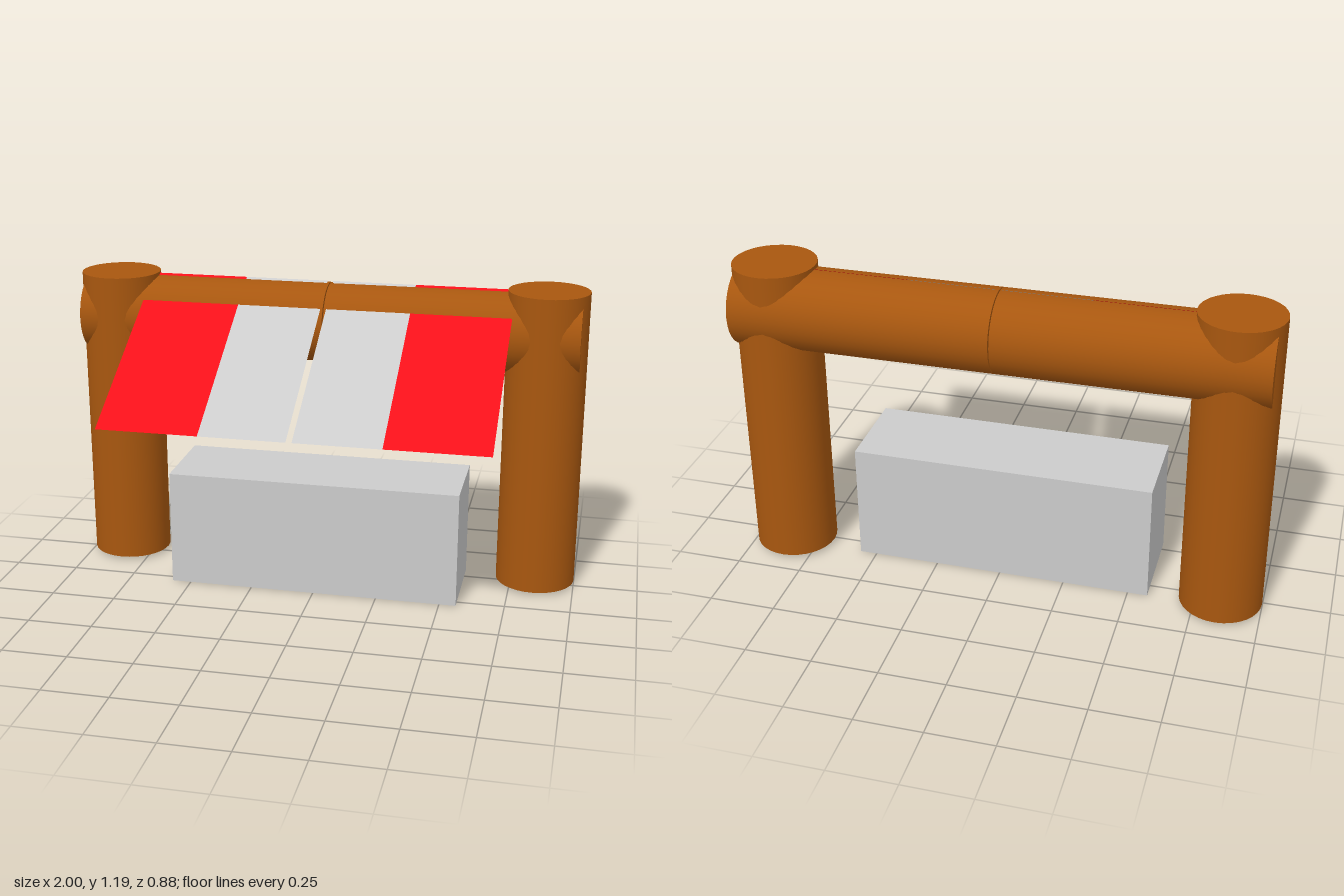
import * as THREE from 'three';

const wood = new THREE.MeshStandardMaterial({ color: 0xa8570f });
const grey = new THREE.MeshStandardMaterial({ color: 0xcccccc });
const redCloth = new THREE.MeshStandardMaterial({ color: 0xff1019, side: THREE.DoubleSide });
const greyCloth = new THREE.MeshStandardMaterial({ color: 0xcccccc, side: THREE.DoubleSide });

const RADIUS = 0.155;

function add(group, name, geometry, material, x, y, z) {
  const mesh = new THREE.Mesh(geometry, material);
  mesh.name = name;
  mesh.position.set(x, y, z);
  group.add(mesh);
  return mesh;
}

export function createModel() {
  const model = new THREE.Group();
  model.name = 'awningStall';

  // Awning slope, from the ridge on the beam down to the front edge
  const ridge = { y: 1.181, z: -0.293 };
  const eave = { y: 0.762, z: 0.438 };
  const drop = ridge.y - eave.y;
  const run = eave.z - ridge.z;
  const slopeLength = Math.hypot(drop, run);
  const tilt = -Math.atan2(run, drop);

  function strip(name, x0, x1, material) {
    const cloth = add(model, name, new THREE.PlaneGeometry(x1 - x0, slopeLength), material,
      (x0 + x1) / 2, (ridge.y + eave.y) / 2, (ridge.z + eave.z) / 2);
    cloth.rotation.x = tilt;
  }

  for (const [side, s] of [['left', 1], ['right', -1]]) {
    // Upright log
    add(model, side + 'Post', new THREE.CylinderGeometry(RADIUS, RADIUS, 1.175, 32), wood,
      s * 0.845, 0.6, -0.276);

    // Half of the cross log, meeting its twin at the middle
    const beam = add(model, side + 'Beam', new THREE.CylinderGeometry(RADIUS, RADIUS, 0.973, 32), wood,
      s * 0.4885, 1.02, -0.286);
    beam.rotation.z = Math.PI / 2;

    // Two-colour cloth
    const ends = (a, b) => (s > 0 ? [a, b] : [-b, -a]);
    strip(side + 'InnerCloth', ...ends(0.011, 0.335), greyCloth);
    strip(side + 'OuterCloth', ...ends(0.335, 0.718), redCloth);
  }

  // Counter block
  add(model, 'counter', new THREE.BoxGeometry(1.14, 0.455, 0.35), grey, -0.005, 0.2275, -0.14);

  return model;
}
